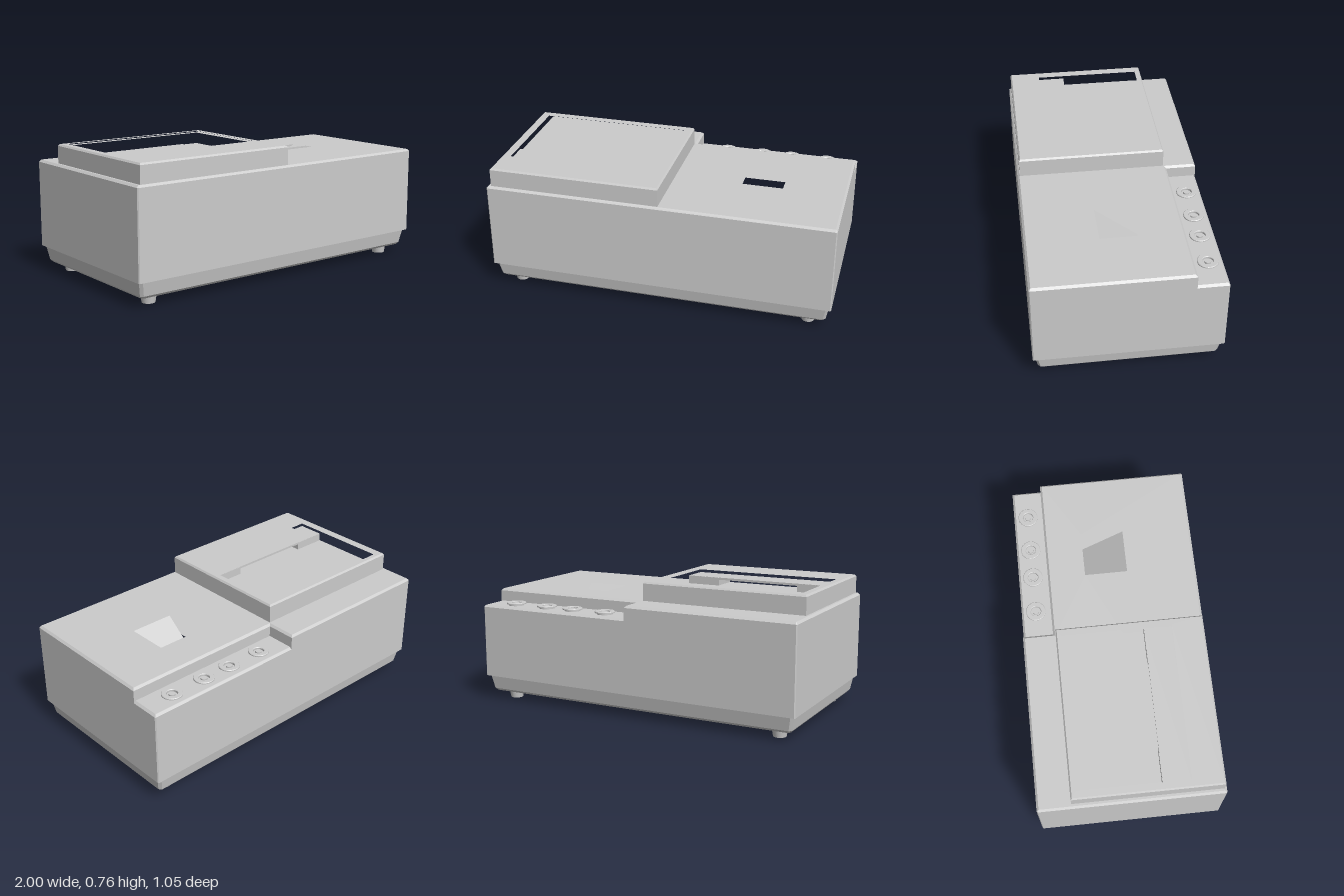
import * as THREE from 'three';

const material = new THREE.MeshStandardMaterial({ color: 0xcccccc });

export function createModel() {
  const model = new THREE.Group();

  function add(name, geometry, x = 0, y = 0, z = 0) {
    const mesh = new THREE.Mesh(geometry, material);
    mesh.name = name;
    mesh.position.set(x, y, z);
    model.add(mesh);
    return mesh;
  }

  // Corner points (x, z) of a rectangle
  const rect = (x0, x1, z0, z1) => [[x0, z0], [x1, z0], [x1, z1], [x0, z1]];
  // Rectangle with small cut corners
  const softRect = (x0, x1, z0, z1, c) => [
    [x0 + c, z0], [x1 - c, z0], [x1, z0 + c], [x1, z1 - c],
    [x1 - c, z1], [x0 + c, z1], [x0, z1 - c], [x0, z0 + c]];

  // Horizontal slab from an (x, z) outline; adjust(x, z) moves the vertices of one level
  function slab(name, outline, y0, y1, { hole, top, bottom } = {}) {
    const vectors = (points) => points.map(([x, z]) => new THREE.Vector2(x, -z));
    const shape = new THREE.Shape(vectors(outline));
    if (hole) shape.holes.push(new THREE.Path(vectors(hole)));
    const geometry = new THREE.ExtrudeGeometry(shape, { depth: y1 - y0, bevelEnabled: false });
    geometry.rotateX(-Math.PI / 2);
    const p = geometry.attributes.position;
    for (let i = 0; i < p.count; i++) {
      const adjust = p.getY(i) > (y1 - y0) / 2 ? top : bottom;
      if (!adjust) continue;
      const [x, z] = adjust(p.getX(i), p.getZ(i));
      p.setX(i, x);
      p.setZ(i, z);
    }
    geometry.computeVertexNormals();
    return add(name, geometry, 0, y0, 0);
  }

  const clamp = THREE.MathUtils.clamp;
  const inside = (x0, x1, z0, z1) => (x, z) => [clamp(x, x0, x1), clamp(z, z0, z1)];
  const shrink = (sx, sz) => (x, z) => [x * sx, z * sz];

  // Main housing with a step at the back and a square opening
  const c = 0.012, X = 1, Z = 0.525, stepX = 0.025, stepZ = -0.35;
  const opening = rect(0.375, 0.64, -0.13, 0.12);
  slab('housing', softRect(-X, X, -Z, Z, 0.006), 0.145, 0.568, { hole: opening });
  const deck = [
    [-X + 0.006, -Z], [stepX, -Z], [stepX, stepZ], [X, stepZ], [X, Z - 0.006],
    [X - 0.006, Z], [-X + 0.006, Z], [-X, Z - 0.006], [-X, -Z + 0.006]];
  slab('upperHousing', deck, 0.568, 0.655 - c, { hole: opening });
  slab('deckEdge', deck, 0.655 - c, 0.655, {
    hole: opening,
    top: (x, z) => [
      Math.abs(x - stepX) < 0.001 ? stepX - c : clamp(x, c - X, X - c),
      Math.abs(z - stepZ) < 0.001 ? stepZ + c : clamp(z, c - Z, Z - c)],
  });
  slab('rearShelf', rect(stepX, X, -Z, stepZ), 0.568, 0.58, { top: inside(-X, X - c, c - Z, Z) });

  // Sloping floor inside the square opening
  const wedge = new THREE.Shape([
    new THREE.Vector2(-0.12, 0.65), new THREE.Vector2(-0.12, 0.4),
    new THREE.Vector2(0.13, 0.4), new THREE.Vector2(0.13, 0.45)]);
  const wedgeGeometry = new THREE.ExtrudeGeometry(wedge, { depth: 0.265, bevelEnabled: false });
  wedgeGeometry.rotateY(Math.PI / 2);
  add('openingSlope', wedgeGeometry, 0.375, 0, 0);

  // Tapered base with a softened lower edge
  const base = softRect(-0.985, 0.985, -0.513, 0.513, 0.015);
  slab('base', base, 0.064, 0.145, { bottom: shrink(0.985, 0.969) });
  slab('baseEdge', base, 0.05, 0.064, { top: shrink(0.985, 0.969), bottom: shrink(0.973, 0.945) });

  // Raised frame, its floor and the bridging plate at the front
  const tray = rect(-0.93, -0.03, -0.3, 0.33);
  const frame = rect(-0.975, 0.01, -0.333, 0.511);
  slab('trayFrame', frame, 0.655, 0.755, { hole: tray });
  slab('trayFrameEdge', frame, 0.755, 0.765, { hole: tray, top: inside(-0.967, 0.002, -0.325, 0.503) });
  slab('trayFloor', tray, 0.65, 0.69);
  slab('trayPlate', rect(-0.93, -0.03, 0.172, 0.33), 0.725, 0.738);
  for (const x of [-0.93, -0.23]) slab('plateSupport', rect(x, x + 0.2, 0.17, 0.33), 0.69, 0.737);

  // Row of round sockets on the rear shelf
  const socketProfile = [
    [0.045, 0], [0.045, 0.009], [0.058, 0.009], [0.058, 0.015], [0.055, 0.018],
    [0.033, 0.018], [0.03, 0.015], [0.03, 0.004], [0, 0.004]];
  const socketPoints = socketProfile.map(([r, y]) => new THREE.Vector2(r, y));
  for (const x of [0.2, 0.42, 0.6, 0.82]) {
    const socket = new THREE.LatheGeometry(socketPoints, 32).toNonIndexed();
    socket.computeVertexNormals();
    add('socket', socket, x, 0.58, -0.44);
    add('socketPin', new THREE.CylinderGeometry(0.018, 0.018, 0.012, 16), x, 0.588, -0.44);
  }

  // Four tapered feet
  for (const x of [-0.87, 0.865])
    for (const z of [-0.402, 0.41])
      add('foot', new THREE.CylinderGeometry(0.046, 0.037, 0.054, 24), x, 0.027, z);

  return model;
}
